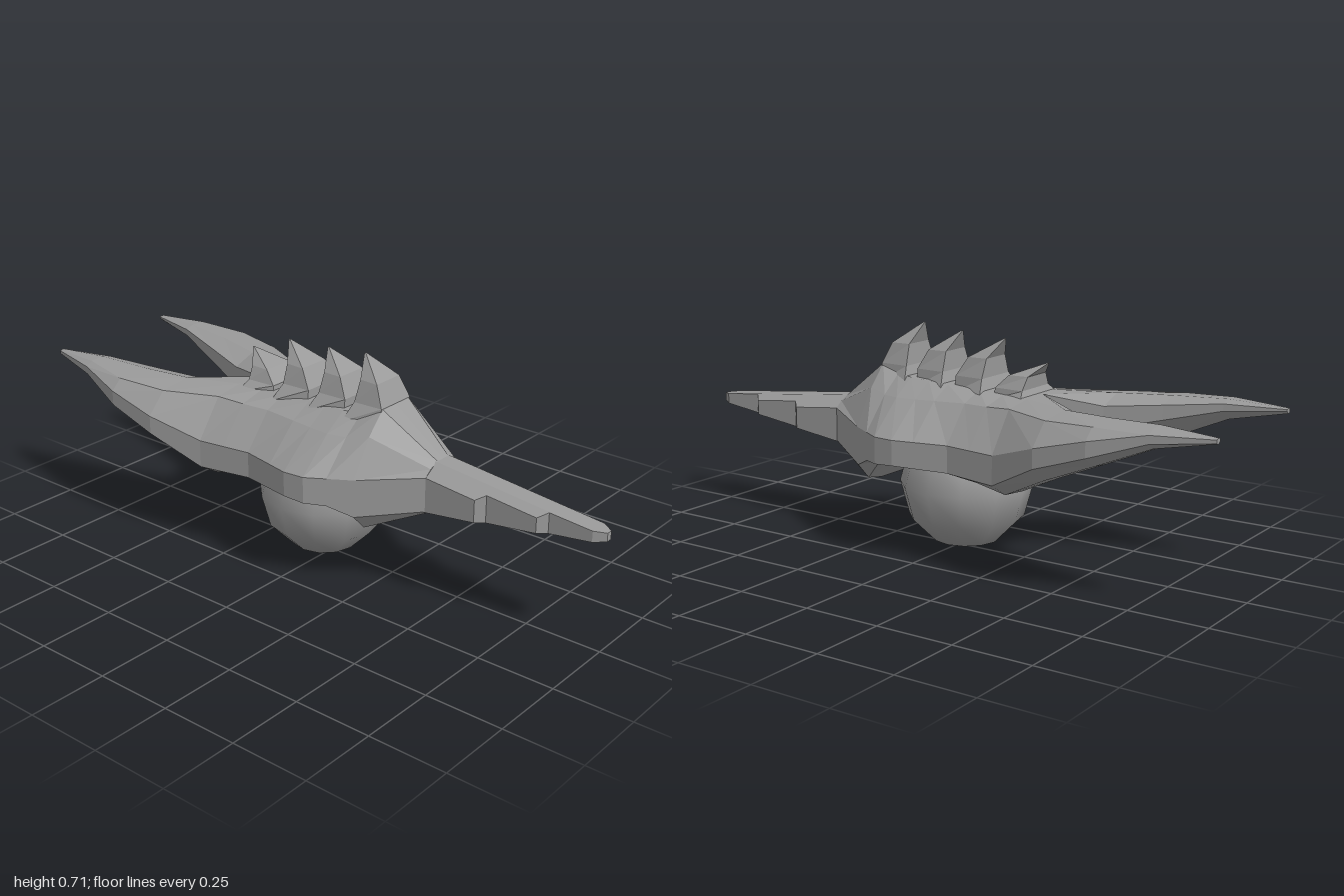
import * as THREE from 'three';

const { lerp } = THREE.MathUtils;
const material = new THREE.MeshStandardMaterial({ color: 0x999999, flatShading: true });
const smoothMaterial = new THREE.MeshStandardMaterial({ color: 0x999999 });

// Closed skin over equal-length rings of [x, y, z], turned to face outward
function loft(rings) {
  const n = rings[0].length, last = (rings.length - 1) * n;
  const points = rings.flat().map(p => new THREE.Vector3(...p));
  const faces = [];
  for (let i = 0; i < rings.length - 1; i++) {
    for (let j = 0; j < n; j++) {
      const a = i * n + j, b = i * n + (j + 1) % n;
      faces.push([a, b, b + n], [a, b + n, a + n]);
    }
  }
  for (let k = 1; k < n - 1; k++) faces.push([0, k + 1, k], [last, last + k, last + k + 1]);
  let volume = 0;
  const cross = new THREE.Vector3();
  for (const [a, b, c] of faces) volume += points[a].dot(cross.crossVectors(points[b], points[c]));
  if (volume < 0) faces.forEach(f => f.reverse());
  const geometry = new THREE.BufferGeometry().setFromPoints(faces.flat().map(i => points[i]));
  geometry.computeVertexNormals();
  return geometry;
}

function add(group, name, geometry, mat = material) {
  const mesh = new THREE.Mesh(geometry, mat);
  mesh.name = name;
  group.add(mesh);
  return mesh;
}

// Value at x along a track of [x, value] pairs running from beak to tail
function at(track, x) {
  const i = Math.max(1, track.findIndex(p => p[0] <= x));
  const [x0, v0] = track[i - 1], [x1, v1] = track[i];
  return lerp(v0, v1, (x - x0) / (x1 - x0));
}

// Hull outlines in plan
const outer = [[.43, .085], [.25, .2], [.12, .28], [.05, .287], [-.13, .25], [-.31, .278],
  [-.48, .33], [-.65, .33], [-.82, .287], [-1, .246]];
const inner = [[.43, 0], [-.31, 0], [-.48, .073], [-.65, .128], [-.82, .18], [-1, .224]];
// Heights of the ridge, the two edges of the side band, and the keel
const ridge = [[.43, .445], [.25, .575], [.18, .55], [.05, .543], [-.22, .527], [-.48, .526], [-.82, .536], [-1, .526]];
const bandTop = [[.43, .41], [.25, .39], [-.31, .39], [-.48, .445], [-.65, .488], [-.82, .52], [-1, .523]];
const bandLow = [[.43, .3], [.25, .268], [.18, .3], [.05, .31], [-.31, .3], [-.48, .385], [-.82, .495], [-1, .513]];
const keel = [[.43, .287], [.25, .203], [.18, .28], [.05, .288], [-.13, .285], [-.31, .247],
  [-.48, .328], [-.65, .4], [-.82, .473], [-1, .51]];
// Shoulder position as fractions of width and of height above the band
const shoulderOut = [[.43, .7], [.05, .57], [-.31, .68], [-.65, .82], [-1, .75]];
const shoulderUp = [[.43, .57], [.05, .69], [-.31, .9], [-.65, .8], [-1, .9]];

const stations = [.43, .25, .18, .12, .05, -.02, -.13, -.22, -.31, -.48, -.65, -.82, -1];

// Half-hull section, from the inner top around the outside to the inner bottom
function hullRing(x, side) {
  const zi = at(inner, x), zo = at(outer, x);
  const top = at(ridge, x), high = at(bandTop, x), low = at(bandLow, x), base = at(keel, x);
  return [
    [zi, lerp(top, base, Math.min(.15, zi * 2))],
    [lerp(zi, zo, .32), top],
    [lerp(zi, zo, at(shoulderOut, x)), lerp(high, top, at(shoulderUp, x))],
    [zo, high],
    [zo, low],
    [lerp(zi, zo, .74), lerp(base, low, .18)],
    [lerp(zi, zo, .4), base],
    [zi, lerp(base, top, Math.min(.5, zi * 7))],
  ].map(([z, y]) => [x, y, z * side]);
}

// Stepped beak: [x, half width]
const beakSteps = [[.42, .085], [.605, .085], [.63, .06], [.8, .06], [.825, .034], [.965, .032], [1, .01]];

function beakRing([x, w]) {
  const t = (x - .43) / .57;
  const top = lerp(.445, .385, t), bottom = lerp(.287, .358, t);
  const flat = Math.min(w, .032);
  const half = [
    [flat, top], [w, top - (w - flat) * .66],
    [w, bottom + (w - flat) * .2], [flat, bottom],
  ];
  return [...half.map(([z, y]) => [x, y, z]), ...half.reverse().map(([z, y]) => [x, y, -z])];
}

// Curved back spine: [back x, front x, back half width, front half width, height]
const spineLevels = [
  [-.12, 0, .115, .075, 0], [-.1, 0, .075, .07, .3],
  [-.095, -.03, .052, .055, .65], [-.12, -.115, .002, .002, 1],
];

function spine(x, height, base, lean) {
  return loft(spineLevels.map(([back, front, wb, wf, h]) => {
    const y = base + h * height, s = x - lean * h * h;
    return [[s + back, y, wb], [s + front, y, wf], [s + front, y, -wf], [s + back, y, -wb]];
  }));
}

export function createModel() {
  const model = new THREE.Group();
  model.name = 'hornedCraft';

  // Mirrored hull halves, each running back into a tail horn
  for (const [name, side] of [['leftHullHalf', 1], ['rightHullHalf', -1]]) {
    add(model, name, loft(stations.map(x => hullRing(x, side))));
  }

  add(model, 'beak', loft(beakSteps.map(beakRing)));

  // Row of spines along the back
  [[.25, .19, .52, 0], [.11, .175, .52, .005], [-.035, .17, .515, .02], [-.18, .115, .51, .03]]
    .forEach((s, i) => add(model, `spine${i + 1}`, spine(...s)));

  // Smooth ball in the socket underneath
  add(model, 'ball', new THREE.SphereGeometry(.213, 12, 6), smoothMaterial).position.set(-.03, .213, 0);

  return model;
}
